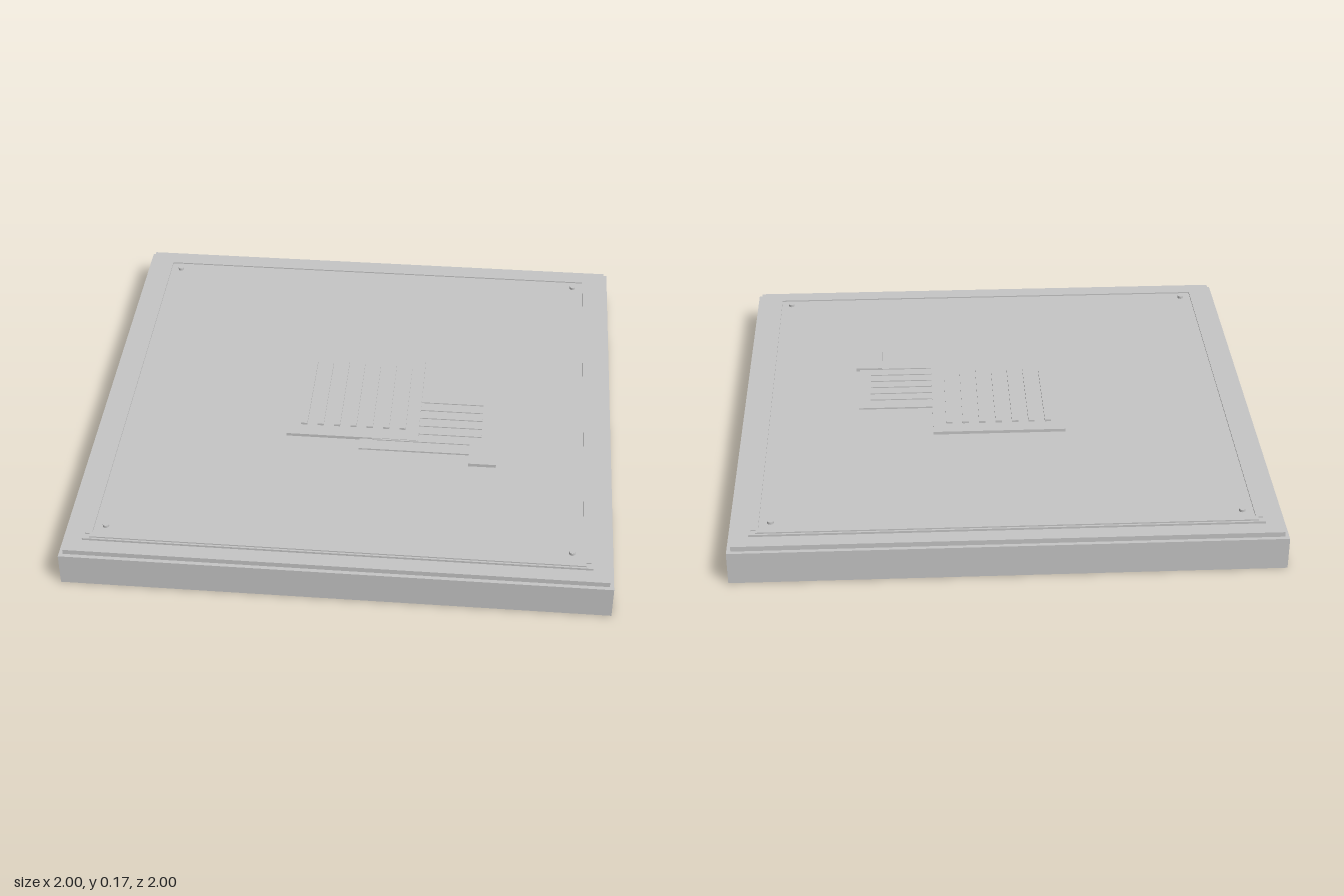
import * as THREE from 'three';

export function createModel() {
  const model = new THREE.Group();
  const grey = new THREE.MeshStandardMaterial({ color: 0xc6c6c6 });
  grey.name = 'plain grey';

  // Box given by its extents on each axis
  const box = (name, x0, x1, y0, y1, z0, z1, parent = model) => {
    const mesh = new THREE.Mesh(new THREE.BoxGeometry(x1 - x0, y1 - y0, z1 - z0), grey);
    mesh.position.set((x0 + x1) / 2, (y0 + y1) / 2, (z0 + z1) / 2);
    mesh.name = name;
    parent.add(mesh);
    return mesh;
  };

  // Stacked square layers
  box('baseSlab', -1, 1, 0, 0.125, -1, 1);
  box('coverPlate', -0.985, 0.985, 0.125, 0.144, -0.985, 0.985);
  box('topPanel', -0.925, 0.925, 0.144, 0.152, -0.925, 0.925);

  // Raised border strips, open at the corners
  const border = new THREE.Group();
  border.name = 'border';
  model.add(border);
  for (const s of [-1, 1]) {
    const a = s * 0.905;
    box('borderStripX', -0.9, 0.9, 0.152, 0.157, a - 0.013, a + 0.013, border);
    box('borderStripZ', a - 0.013, a + 0.013, 0.152, 0.157, -0.9, 0.9, border);
  }

  // Corner screws
  for (const x of [-0.85, 0.85]) {
    for (const z of [-0.85, 0.85]) {
      const screw = new THREE.Mesh(new THREE.CylinderGeometry(0.012, 0.012, 0.01, 12), grey);
      screw.position.set(x, 0.157, z);
      screw.name = 'screw';
      model.add(screw);
    }
  }

  // Central plate with ribs running front to back
  const centre = new THREE.Group();
  centre.name = 'centrePlate';
  model.add(centre);
  box('plate', -0.255, 0.255, 0.152, 0.164, -0.265, 0.265, centre);
  for (let i = -3; i <= 3; i++) {
    const x = i * 0.064;
    box('rib', x - 0.012, x + 0.012, 0.164, 0.172, -0.205, 0.205, centre);
  }

  // Lower side plate, partly beneath the central one, with ribs running sideways
  const side = new THREE.Group();
  side.name = 'sidePlate';
  model.add(side);
  box('plate', 0.03, 0.545, 0.152, 0.158, -0.06, 0.325, side);
  for (let i = 0; i < 6; i++) {
    const z = 0.01 + i * 0.05;
    box('rib', 0.08, 0.5, 0.158, 0.162, z - 0.011, z + 0.011, side);
  }

  // Small tab on the corner of the side plate
  box('cornerTab', 0.455, 0.56, 0.152, 0.165, 0.25, 0.39);

  return model;
}
